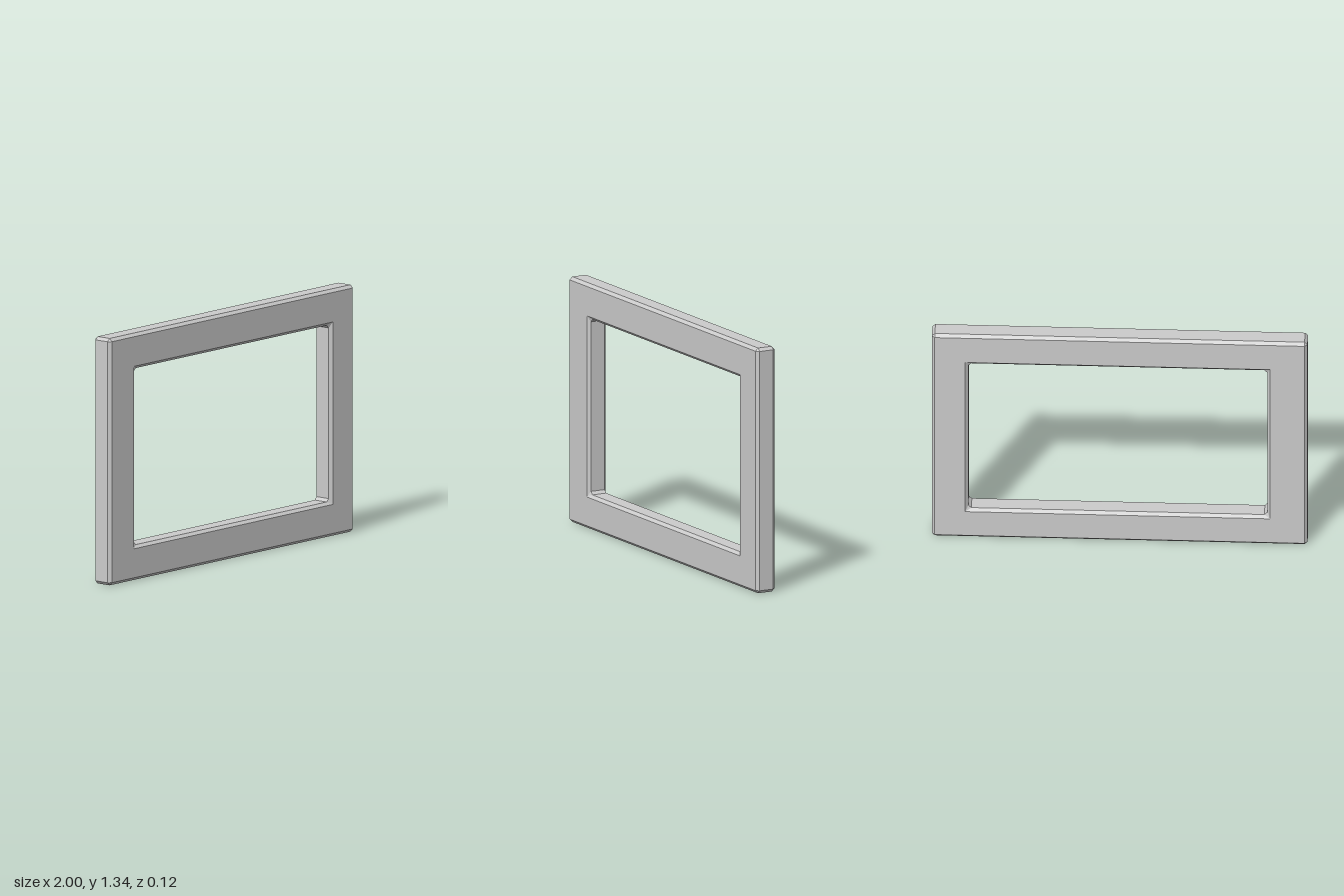
import * as THREE from 'three';

const C = 0.016;                 // chamfer width
const ZF = 0.058, ZW = ZF - C;   // half depth at the faces and at the flat walls
const OUTER = { x0: -1, x1: 1, y0: 0, y1: 1.338 };
const INNER = { x0: -0.786, x1: 0.806, y0: 0.189, y1: 1.146 };

// Rectangle loop of 8 points, counter-clockwise, grown by g with corners cut by c
function rectLoop(r, g, c, z) {
  const x0 = r.x0 - g, x1 = r.x1 + g, y0 = r.y0 - g, y1 = r.y1 + g;
  return [
    [x1, y0 + c], [x1, y1 - c], [x1 - c, y1], [x0 + c, y1],
    [x0, y1 - c], [x0, y0 + c], [x0 + c, y0], [x1 - c, y0],
  ].map(([x, y]) => new THREE.Vector3(x, y, z));
}

// Joins successive loops into a closed ring with hard-edged faces
function ringGeometry(loops) {
  const points = [];
  const triangle = (a, b, c) => {
    const area = b.clone().sub(a).cross(c.clone().sub(a)).length();
    if (area > 1e-8) points.push(a, b, c); // skips collapsed corners
  };
  loops.forEach((loop, i) => {
    const next = loops[(i + 1) % loops.length];
    loop.forEach((a, j) => {
      const k = (j + 1) % loop.length;
      triangle(a, next[j], loop[k]);
      triangle(loop[k], next[j], next[k]);
    });
  });
  const geometry = new THREE.BufferGeometry().setFromPoints(points);
  geometry.computeVertexNormals();
  return geometry;
}

export function createModel() {
  const group = new THREE.Group();
  group.name = 'rectangularFrame';

  // Cross-section: around the outside front to back, then back through the opening
  const geometry = ringGeometry([
    rectLoop(OUTER, -C, 0, ZF),
    rectLoop(OUTER, 0, C, ZW),
    rectLoop(OUTER, 0, C, -ZW),
    rectLoop(OUTER, -C, 0, -ZF),
    rectLoop(INNER, C, 0, -ZF),
    rectLoop(INNER, 0, C, -ZW),
    rectLoop(INNER, 0, C, ZW),
    rectLoop(INNER, C, 0, ZF),
  ]);
  const material = new THREE.MeshStandardMaterial({ color: 0xcccccc, flatShading: true });
  const frame = new THREE.Mesh(geometry, material);
  frame.name = 'frame';
  group.add(frame);
  return group;
}
